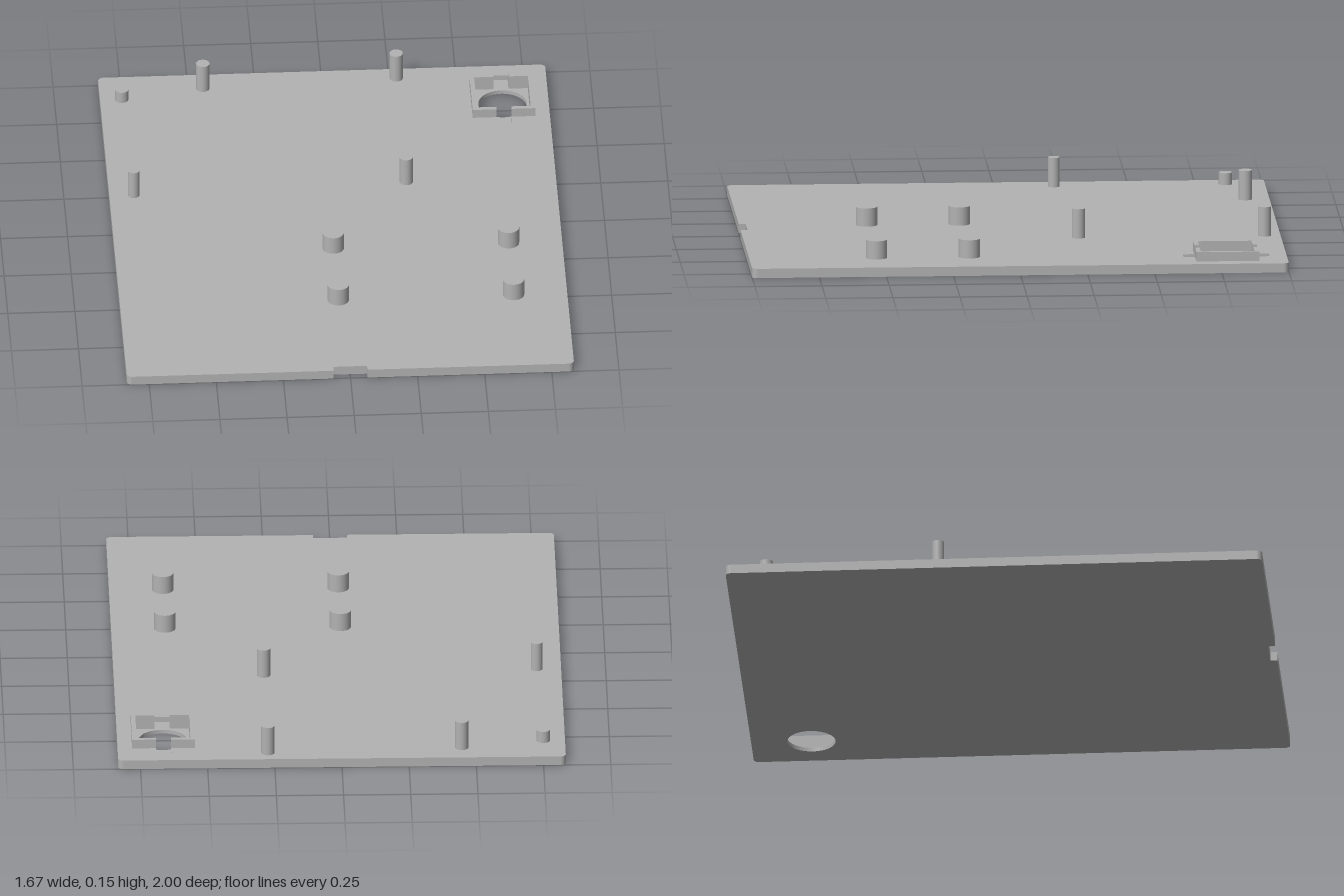
import * as THREE from 'three';

const grey = new THREE.MeshStandardMaterial({ color: 0xb2b2b2 });
grey.name = 'plainGrey';

const W = 0.833, D = 1, TOP = 0.035, FLOOR = 0.015;
const SX = 0.662, SZ = -0.775; // socket centre

function polygon(points, Type = THREE.Shape) {
  return new Type(points.map(([x, y]) => new THREE.Vector2(x, y)));
}

// Extrude a plan outline (x, -z) upwards from y0 to y1
function slab(name, shape, y0, y1) {
  const geo = new THREE.ExtrudeGeometry(shape, { depth: y1 - y0, bevelEnabled: false, curveSegments: 32 });
  geo.rotateX(-Math.PI / 2);
  geo.translate(0, y0, 0);
  const mesh = new THREE.Mesh(geo, grey);
  mesh.name = name;
  return mesh;
}

// Rounded board outline with a notch in the front edge
function boardOutline() {
  const r = 0.02, n = 0.063, s = new THREE.Shape();
  s.moveTo(-W + r, -D);
  s.lineTo(-n, -D);
  s.lineTo(-n, -D + 0.026);
  s.lineTo(n, -D + 0.026);
  s.lineTo(n, -D);
  s.lineTo(W - r, -D);
  s.absarc(W - r, -D + r, r, -Math.PI / 2, 0);
  s.absarc(W - r, D - r, r, 0, Math.PI / 2);
  s.absarc(-W + r, D - r, r, Math.PI / 2, Math.PI);
  s.absarc(-W + r, -D + r, r, Math.PI, Math.PI * 1.5);
  return s;
}

function post(name, x, z, r, top) {
  const h = top - TOP;
  const mesh = new THREE.Mesh(new THREE.CylinderGeometry(r, r, h, 40), grey);
  mesh.position.set(x, TOP + h / 2, z);
  mesh.name = name;
  return mesh;
}

export function createModel() {
  const model = new THREE.Group();
  model.name = 'basePlate';
  const outer = 0.117, inner = 0.1, gap = 0.028, reach = 0.16;
  const at = (pts) => pts.map(([x, y]) => [SX + x, -SZ + y]);

  // Lower layer with the round opening
  const lower = boardOutline();
  const hole = new THREE.Path();
  hole.absarc(SX, -SZ, 0.09, 0, Math.PI * 2, true);
  lower.holes.push(hole);
  model.add(slab('plateLower', lower, 0, FLOOR));

  // Upper layer with the square recess and its two slots
  const upper = boardOutline();
  upper.holes.push(polygon(at([
    [-inner, -inner], [-inner, inner], [-gap, inner], [-gap, reach], [gap, reach], [gap, inner],
    [inner, inner], [inner, -inner], [gap, -inner], [gap, -reach], [-gap, -reach], [-gap, -inner],
  ]), THREE.Path));
  model.add(slab('plateUpper', upper, FLOOR, TOP));

  // Socket walls, one bracket on each side of the slots
  for (const s of [-1, 1]) {
    const bracket = polygon(at([
      [gap, -outer], [outer, -outer], [outer, outer], [gap, outer],
      [gap, inner], [inner, inner], [inner, -inner], [gap, -inner],
    ].map(([x, y]) => [s * x, y])));
    model.add(slab(s > 0 ? 'socketWallLeft' : 'socketWallRight', bracket, TOP, 0.07));
  }

  // Thick standoffs
  for (const x of [-0.02, 0.633])
    for (const z of [0.18, 0.526]) model.add(post('standoff', x, z, 0.04, 0.104));

  // Thin locating pins
  for (const [x, z, r, top] of [
    [-0.447, -0.91, 0.025, 0.146], [0.275, -0.94, 0.025, 0.146], [0.275, -0.247, 0.025, 0.146],
    [-0.742, -0.213, 0.022, 0.146], [-0.752, -0.853, 0.025, 0.08],
  ]) model.add(post('pin', x, z, r, top));

  return model;
}
